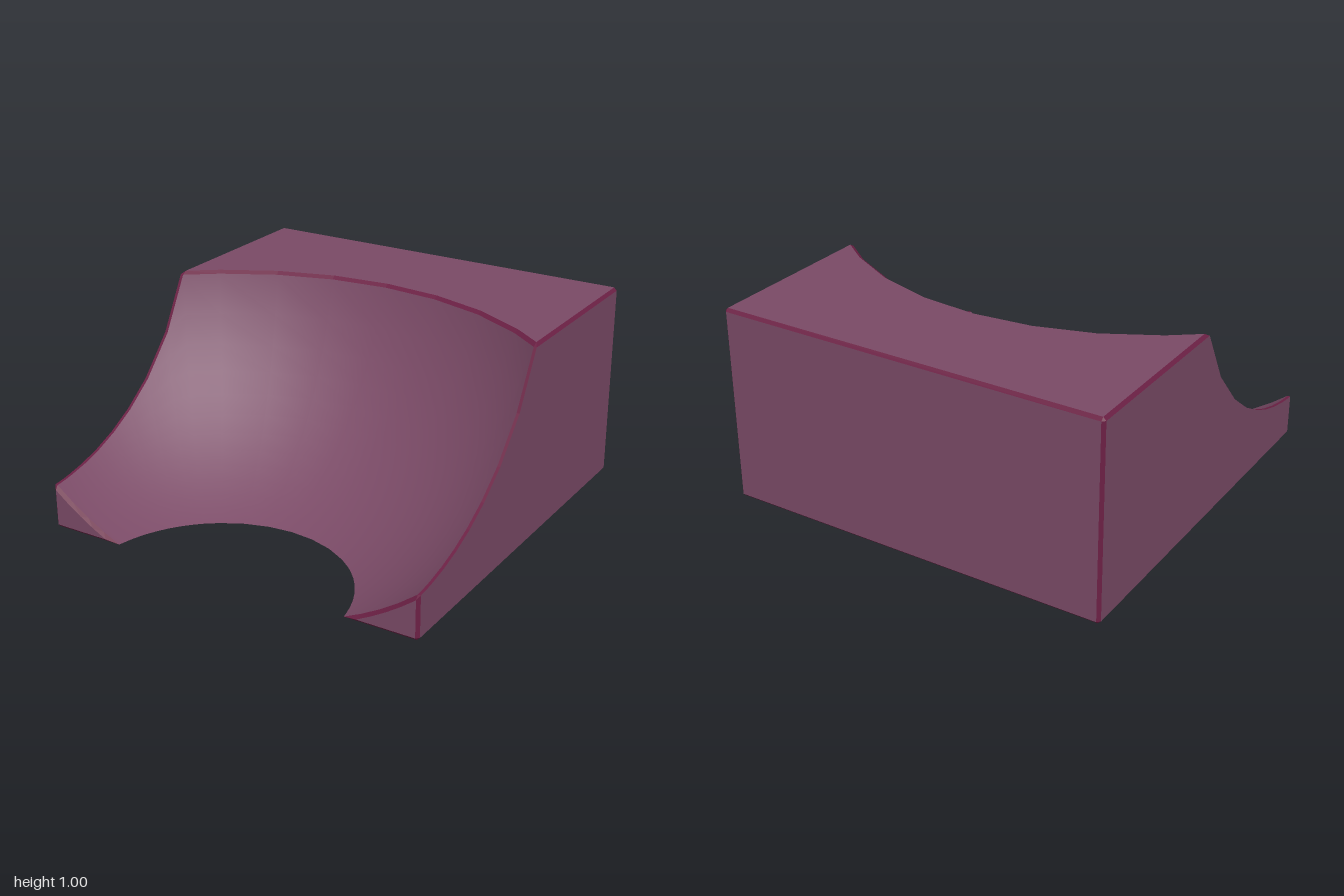
import * as THREE from 'three';

// Block with a spherical hollow scooped from its front, and narrow bevels
const B = 0.015, E = 1 - B;                       // bevel width, inset extent
const CY = 1.436, CZ = 1.08, R2 = 2.459;          // centre and squared radius of the hollow
const R0 = Math.sqrt(R2 - CY * CY);               // hollow radius at the floor
const RT = Math.sqrt(R2 - (CY - E) ** 2);         // hollow radius under the top bevel
const R1 = Math.sqrt(R2 - (CY - 1) ** 2) + B;     // arc radius on the top face
const GAP = CZ - E;

const V = (x, y, z) => new THREE.Vector3(x, y, z);
const faceMat = new THREE.MeshStandardMaterial({ color: 0x7a4a66 });
const edgeMat = new THREE.MeshStandardMaterial({ color: 0x6b2044, side: THREE.DoubleSide });

// Add one triangle, wound to face the direction "out"
function tri(list, a, b, c, out) {
  const n = b.clone().sub(a).cross(c.clone().sub(a));
  if (n.length() < 1e-9) return;
  const pts = n.dot(out) < 0 ? [a, c, b] : [a, b, c];
  for (const p of pts) list.push(p.x, p.y, p.z);
}

// Ribbon between two rows of points
function strip(list, p, q, out) {
  for (let i = 0; i < p.length - 1; i++) {
    tri(list, p[i], q[i], p[i + 1], out);
    tri(list, p[i + 1], q[i], q[i + 1], out);
  }
}

// Flat polygon; pick maps a 3D point to the two axes of its plane
function polygon(list, pts, pick, out) {
  const flat = pts.map((p) => new THREE.Vector2(...pick(p)));
  for (const [a, b, c] of THREE.ShapeUtils.triangulateShape(flat, []))
    tri(list, pts[a], pts[b], pts[c], out);
}

function flatMesh(name, list, mat) {
  const g = new THREE.BufferGeometry();
  g.setAttribute('position', new THREE.Float32BufferAttribute(list, 3));
  g.computeVertexNormals();
  const m = new THREE.Mesh(g, mat);
  m.name = name;
  return m;
}

// Point on the hollow, by angle from -z and distance from its vertical axis
const onBowl = (a, r) =>
  V(r * Math.sin(a), CY - Math.sqrt(R2 - r * r), CZ - r * Math.cos(a));

// Angles of the hollow's columns on one side
const rad = THREE.MathUtils.degToRad;
const topAngles = [11.25, 22.5, 33.75].map(rad);
const rimEnd = Math.asin(E / RT);
const sideAngles = [45, 50.63, 56.25, 61.88, 67.5, 73.13, 78.75].map(rad);
const toeX = Math.sqrt(R0 * R0 - GAP * GAP);
const frontAngles = [0, 0.25, 0.5, 0.75, 1].map((t) =>
  Math.atan((toeX + (E - toeX) * t) / GAP));
const half = [...topAngles, rimEnd, ...sideAngles, ...frontAngles];
const mirrored = (a) => [...a.map((v) => -v).reverse(), 0, ...a];

const low = (a) => onBowl(a, Math.max(R0, GAP / Math.cos(a)));
const high = (a) => onBowl(a, Math.min(RT, E / Math.abs(Math.sin(a))));

function bowlMesh() {
  const angles = mirrored(half), rows = 12, pos = [], nor = [], idx = [];
  for (const a of angles) {
    const r0 = Math.max(R0, GAP / Math.cos(a));
    const r1 = Math.min(RT, E / Math.max(1e-6, Math.abs(Math.sin(a))));
    for (let j = 0; j <= rows; j++) {
      const p = onBowl(a, r0 + (r1 - r0) * (j / rows));
      pos.push(p.x, p.y, p.z);
      nor.push(...V(0, CY, CZ).sub(p).normalize().toArray());
    }
  }
  const w = rows + 1;
  for (let i = 0; i < angles.length - 1; i++)
    for (let j = 0; j < rows; j++) {
      const k = i * w + j;
      idx.push(k, k + w, k + 1, k + 1, k + w, k + w + 1);
    }
  const g = new THREE.BufferGeometry();
  g.setAttribute('position', new THREE.Float32BufferAttribute(pos, 3));
  g.setAttribute('normal', new THREE.Float32BufferAttribute(nor, 3));
  g.setIndex(idx);
  const m = new THREE.Mesh(g, faceMat);
  m.name = 'sphericalHollow';
  return m;
}

export function createModel() {
  const group = new THREE.Group();
  const edges = [], top = [], bottom = [], back = [];
  group.add(bowlMesh());

  // Top face and its curved rim
  const arc = mirrored([...topAngles, Math.asin(E / R1)])
    .map((a) => V(R1 * Math.sin(a), 1, CZ - R1 * Math.cos(a)));
  polygon(top, [V(-E, 1, -E), ...arc, V(E, 1, -E)], (p) => [p.x, p.z], V(0, 1, 0));
  strip(edges, mirrored([...topAngles, rimEnd]).map(high), arc, V(0, 1, 1));

  // Underside with the round notch
  const notch = mirrored([...topAngles, rimEnd, ...sideAngles, frontAngles[0]]).map(low);
  polygon(bottom, [V(-E, 0, -E), V(-E, 0, E), ...notch, V(E, 0, E), V(E, 0, -E)],
    (p) => [p.x, p.z], V(0, -1, 0));

  // Back face with its long bevels
  strip(back, [V(-E, B, -1), V(E, B, -1)], [V(-E, E, -1), V(E, E, -1)], V(0, 0, -1));
  strip(edges, [V(-E, 1, -E), V(E, 1, -E)], [V(-E, E, -1), V(E, E, -1)], V(0, 1, -1));
  strip(edges, [V(-E, 0, -E), V(E, 0, -E)], [V(-E, B, -1), V(E, B, -1)], V(0, -1, -1));

  for (const s of [1, -1]) {
    const side = [], toe = [], label = s > 0 ? 'left' : 'right';

    // Side wall following the hollow
    const rim = [rimEnd, ...sideAngles, ...frontAngles.slice(0, 1), frontAngles[4]].map((a) => high(s * a));
    const wall = rim.map((p) => V(s, p.y, p.z));
    const wallEnd = wall[wall.length - 1];
    polygon(side, [...wall, V(s, B, E), V(s, B, -E), V(s, E, -E)],
      (p) => [p.z, p.y], V(s, 0, 0));
    const fullRim = [rimEnd, ...sideAngles, ...frontAngles].map((a) => high(s * a));
    strip(edges, fullRim, fullRim.map((p) => V(s, p.y, p.z)), V(s, 1, 0.5));

    // Small front face of the toe
    const lip = frontAngles.map((a) => low(s * a));
    const rf = Math.sqrt(R2 - (CZ - 1) ** 2) + B;
    const x0 = Math.sqrt(rf * rf - (CY - B) ** 2);
    const front = lip.map((p, i) => {
      const x = x0 + (E - x0) * i / 4;
      return V(s * x, CY - Math.sqrt(rf * rf - x * x), 1);
    });
    polygon(toe, [...front, V(s * E, B, 1)], (p) => [p.x, p.y], V(0, 0, 1));
    strip(edges, lip, front, V(0, 1, 1));

    // Straight bevels of this side
    const topCorner = s > 0 ? arc[arc.length - 1] : arc[0];
    strip(edges, [V(s * E, 1, -E), topCorner], [V(s, E, -E), wall[0]], V(s, 1, 0));
    strip(edges, [V(s * E, 0, -E), V(s * E, 0, E)], [V(s, B, -E), V(s, B, E)], V(s, -1, 0));
    strip(edges, [V(s * E, B, -1), V(s * E, E, -1)], [V(s, B, -E), V(s, E, -E)], V(s, 0, -1));
    strip(edges, [V(s * E, B, 1), front[4]], [V(s, B, E), wallEnd], V(s, 0, 1));
    strip(edges, [lip[0], V(s * E, 0, E)], [front[0], V(s * E, B, 1)], V(0, -1, 1));

    // Corner triangles
    tri(edges, V(s * E, 1, -E), V(s, E, -E), V(s * E, E, -1), V(s, 1, -1));
    tri(edges, V(s * E, 0, -E), V(s, B, -E), V(s * E, B, -1), V(s, -1, -1));
    tri(edges, V(s * E, 0, E), V(s, B, E), V(s * E, B, 1), V(s, -1, 1));
    tri(edges, rim[0], topCorner, wall[0], V(s, 1, 1));
    tri(edges, lip[4], front[4], wallEnd, V(s, 1, 1));

    group.add(flatMesh(label + 'Side', side, faceMat), flatMesh(label + 'Toe', toe, faceMat));
  }

  group.add(flatMesh('topFace', top, faceMat), flatMesh('underside', bottom, faceMat),
    flatMesh('backFace', back, faceMat), flatMesh('bevelledEdges', edges, edgeMat));
  return group;
}
